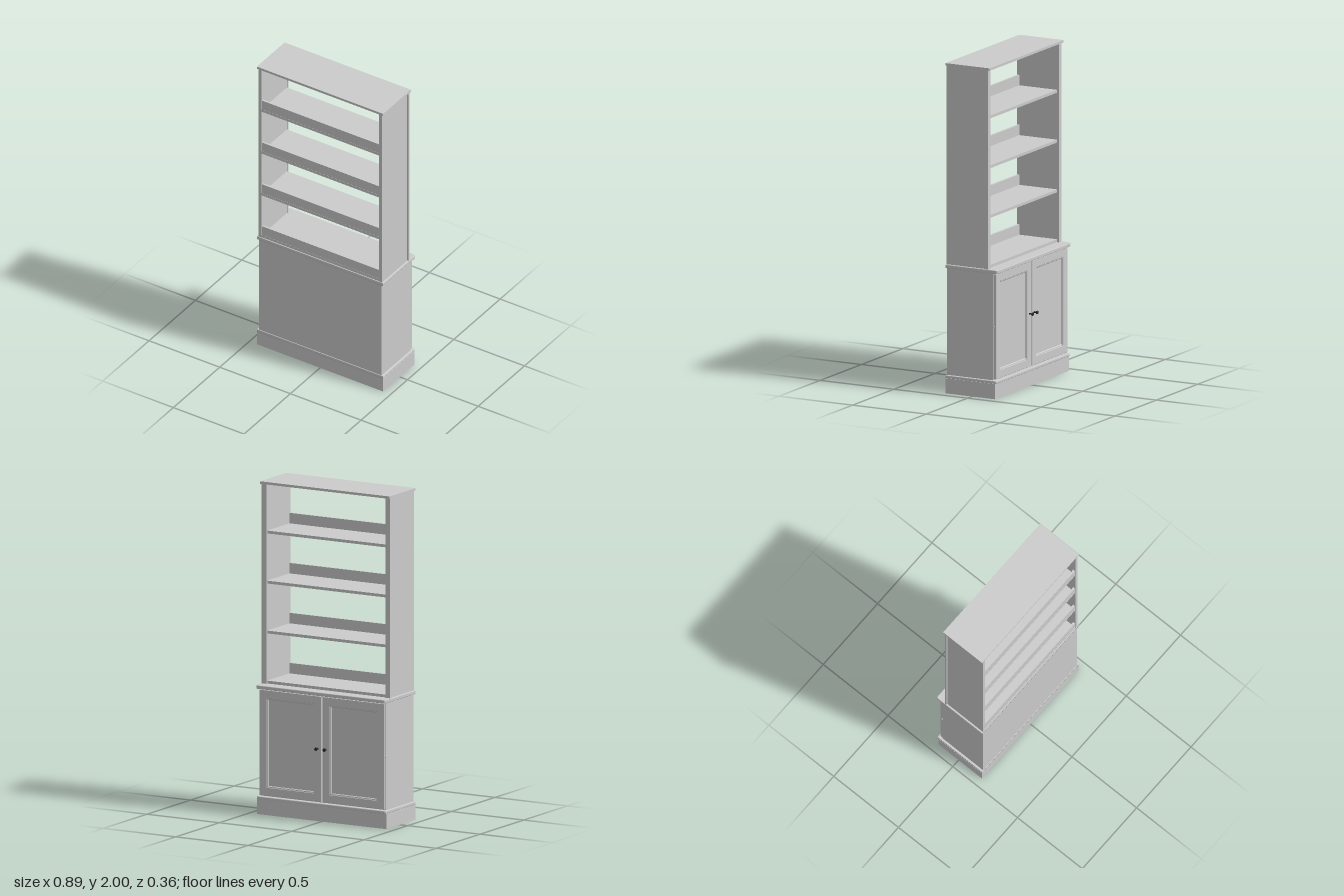
import * as THREE from 'three';

const grey = new THREE.MeshStandardMaterial({ color: 0xcccccc });
const dark = new THREE.MeshStandardMaterial({ color: 0x222222 });
const BACK = 0.18; // flat rear plane; doors and open shelves face -z

export function createModel() {
  const model = new THREE.Group();
  model.name = 'bookcaseCabinet';

  const add = (parent, name, geometry, material = grey) => {
    const mesh = new THREE.Mesh(geometry, material);
    mesh.name = name;
    parent.add(mesh);
    return mesh;
  };

  // Box given by its two limits on each axis
  const box = (parent, name, [x0, x1], [y0, y1], [z0, z1]) => {
    const mesh = add(parent, name, new THREE.BoxGeometry(x1 - x0, y1 - y0, z1 - z0));
    mesh.position.set((x0 + x1) / 2, (y0 + y1) / 2, (z0 + z1) / 2);
    return mesh;
  };

  // Horizontal board with softened edges and rounded front corners
  const board = (name, halfWidth, y0, y1, zFront, r = 0.008, b = 0.004) => {
    const w = halfWidth - b, f = -zFront - b, s = new THREE.Shape();
    s.moveTo(-w, -BACK);
    s.lineTo(w, -BACK);
    s.lineTo(w, f - r);
    s.quadraticCurveTo(w, f, w - r, f);
    s.lineTo(-w + r, f);
    s.quadraticCurveTo(-w, f, -w, f - r);
    s.closePath();
    const geo = new THREE.ExtrudeGeometry(s, {
      depth: y1 - y0 - 2 * b, bevelThickness: b, bevelSize: b, bevelSegments: 3, curveSegments: 4,
    });
    geo.rotateX(-Math.PI / 2);
    // keep the rear edge flush
    const p = geo.attributes.position;
    for (let i = 0; i < p.count; i++) p.setZ(i, Math.min(p.getZ(i), BACK));
    add(model, name, geo).position.y = y0 + b;
  };

  // Flat rectangular frame, its face towards -z
  const frame = (parent, name, w, h, border, depth, zFace, bevel) => {
    const rect = (Type, a, c) => {
      const s = new Type();
      s.moveTo(-a, -c);
      s.lineTo(a, -c);
      s.lineTo(a, c);
      s.lineTo(-a, c);
      s.closePath();
      return s;
    };
    const shape = rect(THREE.Shape, w / 2 - bevel, h / 2 - bevel);
    shape.holes.push(rect(THREE.Path, w / 2 - border + bevel, h / 2 - border + bevel));
    const geo = new THREE.ExtrudeGeometry(shape, {
      depth: depth - 2 * bevel, bevelThickness: bevel, bevelSize: bevel, bevelSegments: 1,
    });
    add(parent, name, geo).position.z = zFace + bevel;
  };

  // Base cabinet
  box(model, 'plinth', [-0.447, 0.447], [0, 0.092], [-0.156, BACK]);
  board('plinthMoulding', 0.447, 0.092, 0.11, -0.166);
  box(model, 'cabinetBody', [-0.433, 0.433], [0.1, 0.765], [-0.135, BACK - 0.002]);
  board('counter', 0.447, 0.758, 0.78, -0.172);

  // Knob profile, turned about its own axis
  const knobProfile = [[0, 0], [0.006, 0], [0.0045, 0.004], [0.0045, 0.014], [0.009, 0.018],
    [0.0105, 0.022], [0.009, 0.026], [0, 0.028]].map(([x, y]) => new THREE.Vector2(x, y));

  for (const side of [-1, 1]) {
    // Panelled door
    const door = new THREE.Group();
    door.name = side > 0 ? 'leftDoor' : 'rightDoor';
    door.position.set(side * 0.2175, 0.4345, 0);
    model.add(door);
    frame(door, 'doorFrame', 0.427, 0.637, 0.05, 0.018, -0.155, 0.002);
    frame(door, 'doorBead', 0.335, 0.545, 0.013, 0.012, -0.151, 0.004);
    box(door, 'doorPanel', [-0.166, 0.166], [-0.271, 0.271], [-0.144, -0.134]);

    const knob = add(model, 'knob', new THREE.LatheGeometry(knobProfile, 20), dark);
    knob.rotation.x = -Math.PI / 2;
    knob.position.set(side * 0.028, 0.437, -0.154);

    // Small pin on the cabinet side
    const pin = add(model, 'sidePin', new THREE.CylinderGeometry(0.005, 0.005, 0.006, 12));
    pin.rotation.z = Math.PI / 2;
    pin.position.set(side * 0.433, 0.434, -0.14);

    // Upper side panel and its front stile
    const xs = (a, b) => (side > 0 ? [a, b] : [-b, -a]);
    box(model, 'sidePanel', xs(0.415, 0.436), [0.778, 1.986], [-0.095, BACK - 0.002]);
    box(model, 'frontStile', xs(0.412, 0.444), [0.778, 1.986], [-0.107, -0.095]);
  }

  // Shelves, each with a low rail along the rear
  for (const y of [0.78, 1.082, 1.383, 1.685]) {
    box(model, 'shelf', [-0.415, 0.415], [y, y + 0.017], [-0.095, BACK - 0.004]);
    box(model, 'rearRail', [-0.415, 0.415], [y + 0.017, y + 0.08], [0.162, BACK - 0.005]);
  }

  box(model, 'topBoard', [-0.447, 0.447], [1.985, 2], [-0.119, BACK]);

  return model;
}
